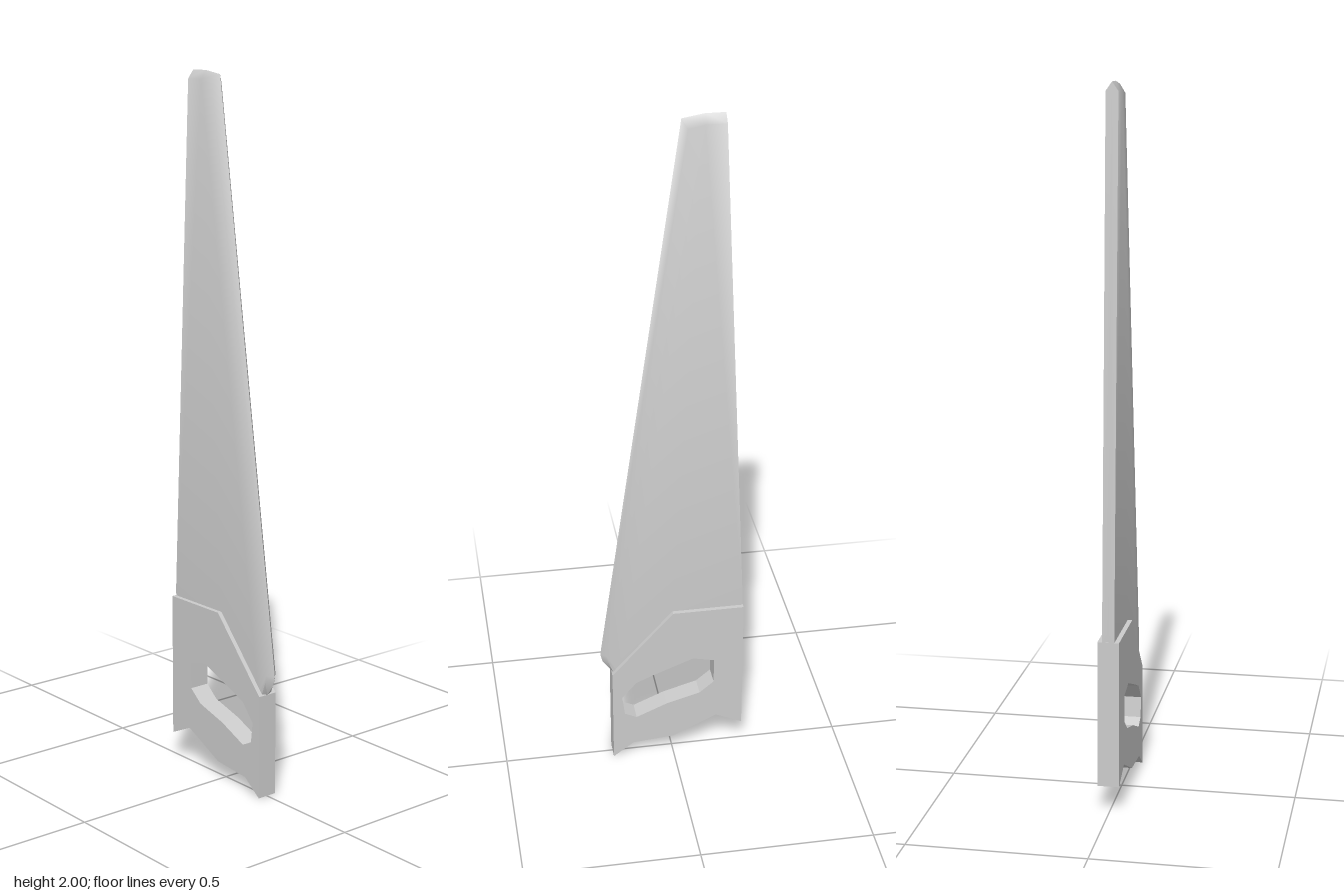
import * as THREE from 'three';
import { toCreasedNormals } from 'three/addons/utils/BufferGeometryUtils.js';

const BLADE_HALF = 0.017;
const HANDLE_HALF = 0.03;
const vectors = (list) => list.map(([u, y]) => new THREE.Vector2(u, y));

// Profiles are drawn as (u, y) with u = -z, then turned so their depth runs along x.
const handleOutline = [
  [-0.18, 0], [-0.12, 0.045], [0, 0.055], [0.13, 0.118], [0.208, 0.082],
  [0.208, 0.5], [0, 0.5], [-0.18, 0.3],
];
const gripHole = [
  [-0.152, 0.215], [-0.11, 0.265], [-0.06, 0.287], [0.06, 0.334], [0.122, 0.32],
  [0.122, 0.242], [0.08, 0.207], [-0.02, 0.178], [-0.11, 0.139], [-0.145, 0.156],
];

// Blade: each row is the rim on the centre plane, then the edge of the flat side.
const bladeRows = [
  [[-0.16, 0.3], [-0.16, 0.3]],
  [[0, 0.45], [0, 0.45]],
  [[0.205, 0.45], [0.205, 0.45]],
  [[0.207, 0.52], [0.207, 0.52]],
  [[0.14, 2], [0.141, 1.976]],
  [[0.085, 2], [0.085, 1.976]],
  [[0.025, 1.99], [0.04, 1.967]],
  [[-0.211, 0.36], [-0.194, 0.362]],
  [[-0.205, 0.335], [-0.19, 0.34]],
  [[-0.18, 0.299], [-0.176, 0.304]],
];

function bladeGeometry() {
  const rim = vectors(bladeRows.map((row) => row[0]));
  const flat = vectors(bladeRows.map((row) => row[1]));
  const faces = THREE.ShapeUtils.triangulateShape(flat, []);
  const positions = [];
  for (const side of [1, -1]) {
    const triangle = (...corners) => {
      if (side < 0) corners.reverse();
      for (const [p, w] of corners) positions.push(p.x, p.y, w * side);
    };
    // flat side
    for (const face of faces) triangle(...face.map((i) => [flat[i], BLADE_HALF]));
    // bevels and square back, from the flat side to the centre plane
    rim.forEach((p, i) => {
      const j = (i + 1) % rim.length;
      triangle([flat[i], BLADE_HALF], [p, 0], [rim[j], 0]);
      triangle([flat[i], BLADE_HALF], [rim[j], 0], [flat[j], BLADE_HALF]);
    });
  }
  const geometry = new THREE.BufferGeometry();
  geometry.setAttribute('position', new THREE.Float32BufferAttribute(positions, 3));
  return toCreasedNormals(geometry, THREE.MathUtils.degToRad(55)).rotateY(Math.PI / 2);
}

function handleGeometry() {
  const shape = new THREE.Shape(vectors(handleOutline));
  shape.holes.push(new THREE.Path(vectors(gripHole)));
  return new THREE.ExtrudeGeometry(shape, { depth: HANDLE_HALF * 2, bevelEnabled: false })
    .translate(0, 0, -HANDLE_HALF)
    .rotateY(Math.PI / 2);
}

export function createModel() {
  const group = new THREE.Group();
  group.name = 'handSaw';
  const material = new THREE.MeshStandardMaterial({ color: 0xcccccc });
  const add = (name, geometry) => {
    const mesh = new THREE.Mesh(geometry, material);
    mesh.name = name;
    group.add(mesh);
  };
  add('blade', bladeGeometry());
  add('handle', handleGeometry());
  return group;
}
